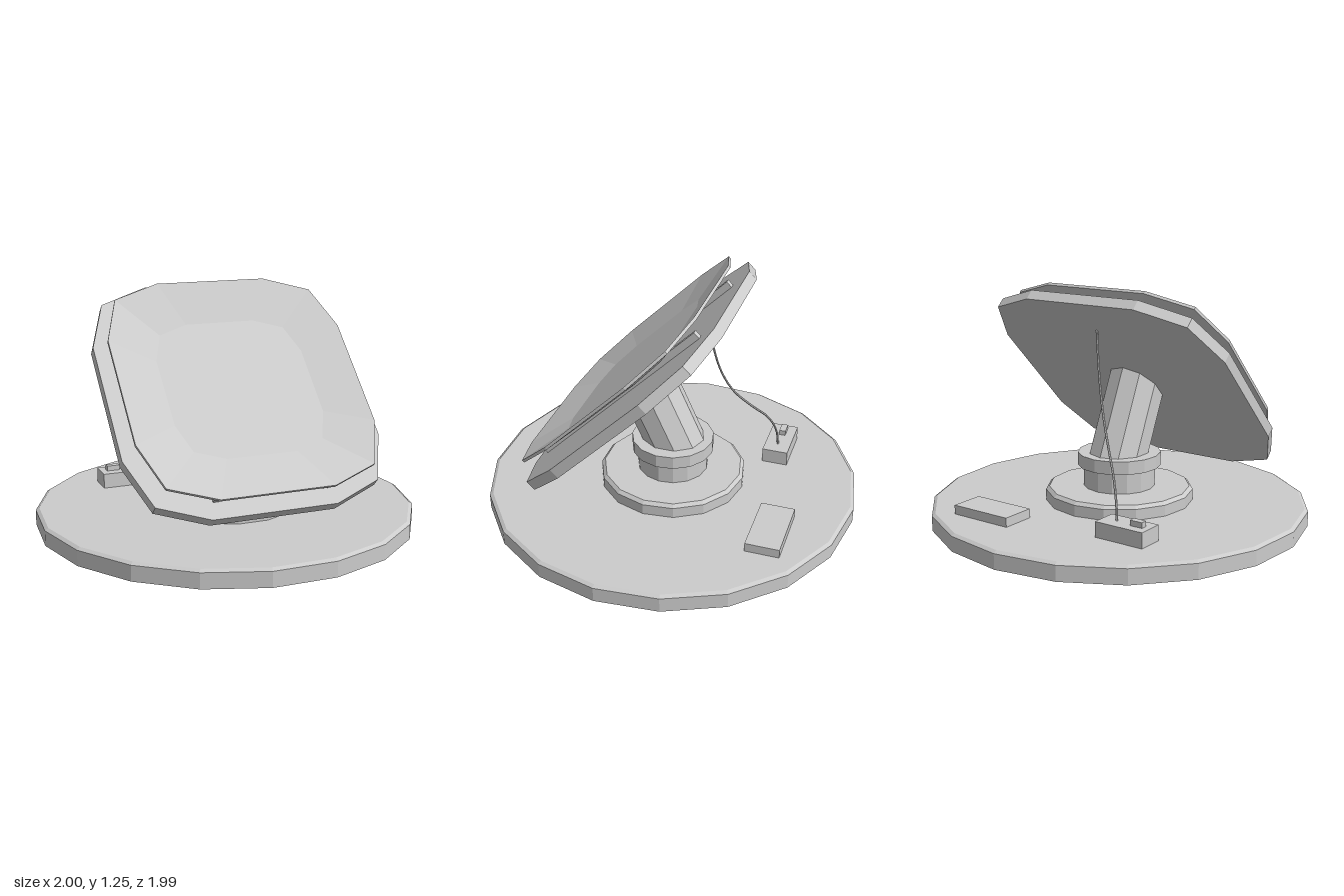
import * as THREE from 'three';

const material = new THREE.MeshStandardMaterial({ color: 0xcccccc, flatShading: true });
const AXIS_Z = 0.007; // centre line of the stand

function add(parent, name, geometry, x = 0, y = 0, z = 0) {
  const mesh = new THREE.Mesh(geometry, material);
  mesh.name = name;
  mesh.position.set(x, y, z);
  parent.add(mesh);
  return mesh;
}

// Upright faceted turning with a corner at the back; profile is [radius, y] from bottom to top
function turned(profile, sides) {
  const points = profile.map(([r, y]) => new THREE.Vector2(r, y));
  return new THREE.LatheGeometry(points, sides, Math.PI);
}

// Box given by its lower and upper corners
function boxBetween(parent, name, [x0, y0, z0], [x1, y1, z1]) {
  return add(parent, name, new THREE.BoxGeometry(x1 - x0, y1 - y0, z1 - z0),
    (x0 + x1) / 2, (y0 + y1) / 2, (z0 + z1) / 2);
}

// Square outline with each corner cut twice, counter-clockwise
function cutSquare(half, corner, flat) {
  const quarter = [[half, -flat], [half, flat], [corner, corner]];
  const points = [];
  for (let q = 0; q < 4; q++) {
    const c = Math.round(Math.cos(q * Math.PI / 2));
    const s = Math.round(Math.sin(q * Math.PI / 2));
    for (const [x, y] of quarter) points.push(new THREE.Vector2(x * c - y * s, x * s + y * c));
  }
  return points;
}

// Shallow shell: the outline scaled and set at a depth for each [scale, depth] step
function dishGeometry(outline, steps) {
  const n = outline.length;
  const positions = [];
  const index = [];
  for (const [scale, depth] of steps) {
    for (const p of outline) positions.push(p.x * scale, p.y * scale, depth);
  }
  for (let i = 0; i < steps.length - 1; i++) {
    for (let j = 0; j < n; j++) {
      const k = (j + 1) % n;
      const a = i * n + j, b = i * n + k, c = a + n, d = b + n;
      if (steps[i + 1][0] > 0) index.push(a, c, d);
      if (steps[i][0] > 0) index.push(a, d, b);
    }
  }
  const geometry = new THREE.BufferGeometry();
  geometry.setAttribute('position', new THREE.Float32BufferAttribute(positions, 3));
  geometry.setIndex(index);
  geometry.computeVertexNormals();
  return geometry;
}

// Leaning post whose top is cut parallel to the back plate
function postGeometry() {
  const geometry = new THREE.CylinderGeometry(0.157, 0.157, 0.5, 10);
  const pos = geometry.attributes.position;
  for (let i = 0; i < pos.count; i++) {
    const top = pos.getY(i) > 0;
    pos.setY(i, top ? (0.494 - 0.495 * pos.getZ(i)) / 1.325 : -0.1);
  }
  geometry.computeVertexNormals();
  return geometry;
}

export function createModel() {
  const model = new THREE.Group();
  model.name = 'dishOnStand';

  // Stand
  add(model, 'base', turned([[0, 0], [1.003, 0], [1.003, 0.08], [0.985, 0.092], [0, 0.092]], 19), 0, 0, AXIS_Z);
  add(model, 'collar', turned([[0, 0.09], [0.393, 0.09], [0.393, 0.15], [0.375, 0.167], [0, 0.167]], 15), 0, 0, AXIS_Z);
  add(model, 'neck', turned([[0, 0.16], [0.19, 0.16], [0.19, 0.3], [0, 0.3]], 15), 0, 0, AXIS_Z);
  add(model, 'neckRing', turned([[0, 0.28], [0.221, 0.28], [0.221, 0.35], [0, 0.35]], 15), 0, 0, AXIS_Z);
  const post = add(model, 'post', postGeometry(), 0, 0.35, AXIS_Z);
  post.rotation.x = THREE.MathUtils.degToRad(24.5);

  // Tilted head; local z points out of the dish, zero at the front of the back plate
  const head = new THREE.Group();
  head.name = 'head';
  head.position.set(0, 0.7275, 0.1875);
  head.rotation.x = -Math.PI / 4;
  model.add(head);

  const plate = new THREE.ExtrudeGeometry(new THREE.Shape(cutSquare(0.69, 0.59, 0.33)),
    { depth: 0.058, bevelEnabled: false });
  add(head, 'backPlate', plate, 0, 0, -0.058);

  for (const side of [-1, 1]) {
    add(head, 'rail', new THREE.BoxGeometry(0.03, 1.18, 0.04), side * 0.29, -0.01, 0.018);
  }

  const dish = dishGeometry(cutSquare(0.637, 0.547, 0.3),
    [[0, 0.044], [0.63, 0.045], [1, 0.096], [1, 0.08], [0.63, 0.03], [0, 0.03]]);
  add(head, 'dish', dish);

  // Equipment on the base
  boxBetween(model, 'powerBox', [0.17, 0.09, -0.715], [0.52, 0.14, -0.535]);
  boxBetween(model, 'cableBox', [-0.545, 0.09, -0.57], [-0.27, 0.172, -0.43]);
  boxBetween(model, 'switchBlock', [-0.51, 0.17, -0.52], [-0.44, 0.2, -0.485]);

  // Cable from its box up to the back plate
  const path = [[-0.5, 0.16], [-0.49, 0.26], [-0.45, 0.37], [-0.375, 0.48],
    [-0.29, 0.62], [-0.235, 0.77], [-0.2, 0.94], [-0.188, 1.03]];
  const curve = new THREE.CatmullRomCurve3(path.map(([z, y]) =>
    new THREE.Vector3(0.35 * (z + 0.188) / 0.312, y, z)));
  add(model, 'cable', new THREE.TubeGeometry(curve, 24, 0.006, 6));

  return model;
}
